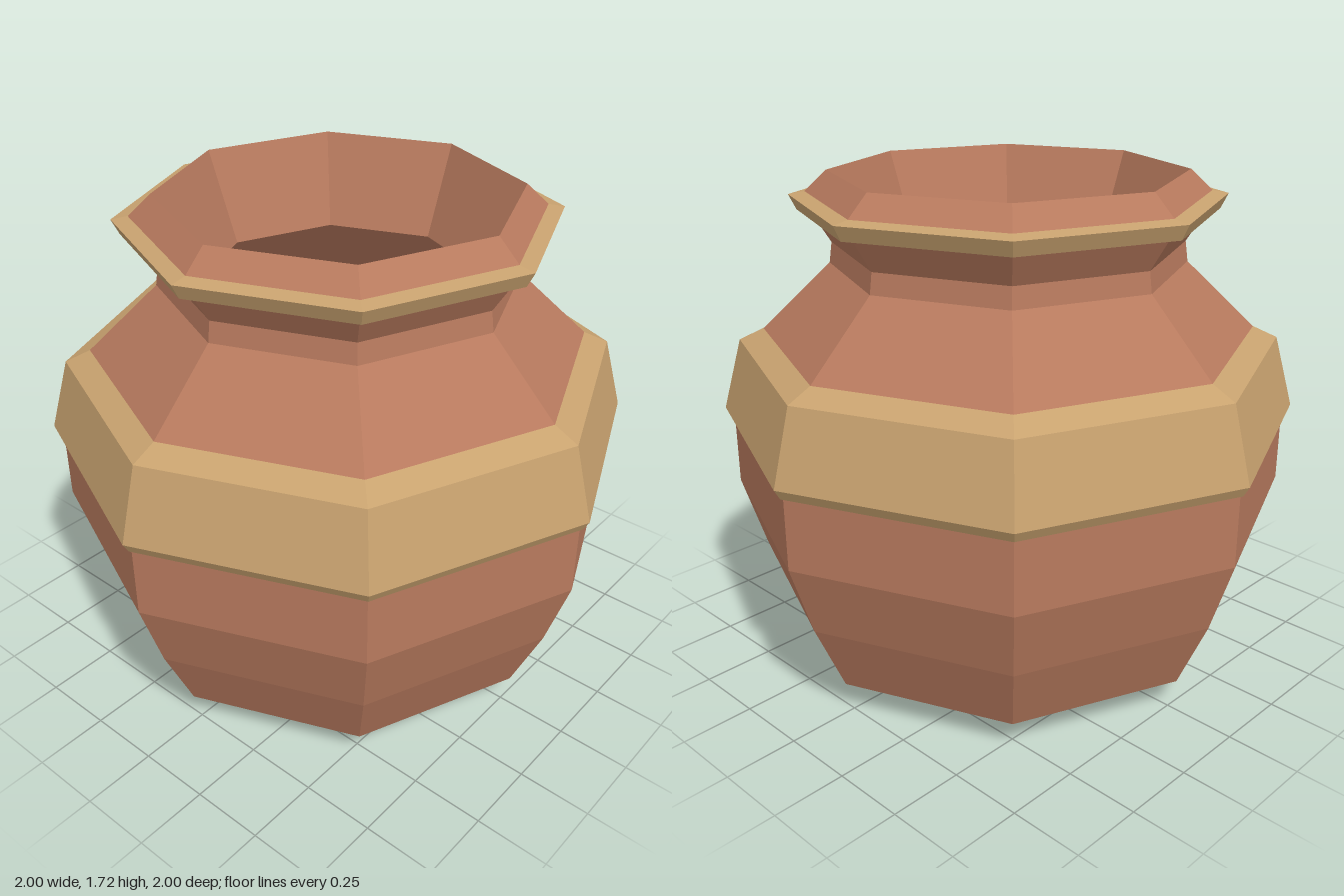
import * as THREE from 'three';

// Eight-sided pot with corners on the x and z axes
const SIDES = 8;

export function createModel() {
  const terracotta = new THREE.MeshStandardMaterial({ color: 0xb87a5e, flatShading: true });
  terracotta.name = 'terracotta';
  const tan = new THREE.MeshStandardMaterial({ color: 0xc8a26f, flatShading: true });
  tan.name = 'tan glaze';

  const pot = new THREE.Group();
  pot.name = 'pot';

  // Turns a [radius, height] profile; outer surfaces run upward, inner ones downward
  function turn(name, material, profile) {
    const points = profile.map(([r, y]) => new THREE.Vector2(r, y));
    const mesh = new THREE.Mesh(new THREE.LatheGeometry(points, SIDES), material);
    mesh.name = name;
    pot.add(mesh);
  }

  // Base and belly
  turn('belly', terracotta, [
    [0, 0], [0.5, 0], [0.78, 0.11], [0.89, 0.36], [0.97, 0.61], [0.97, 0.855],
  ]);

  // Raised band around the widest part
  turn('bellyBand', tan, [
    [0.965, 0.855], [0.98, 0.855], [1.0, 0.89], [0.93, 1.14], [0.845, 1.18],
  ]);

  // Shoulder and neck
  turn('shoulderAndNeck', terracotta, [
    [0.845, 1.18], [0.605, 1.41], [0.595, 1.48], [0.665, 1.59],
  ]);

  // Raised band below the lip
  turn('rimBand', tan, [
    [0.665, 1.59], [0.705, 1.59], [0.73, 1.64], [0.675, 1.65],
  ]);

  // Lip
  turn('lip', terracotta, [[0.675, 1.65], [0.6, 1.72]]);

  // Hollow inside with a shallow sloping floor
  turn('inside', terracotta, [
    [0.6, 1.72], [0.48, 1.41], [0.8, 1.1], [0.88, 0.61], [0.7, 0.22], [0, 0.04],
  ]);

  return pot;
}
